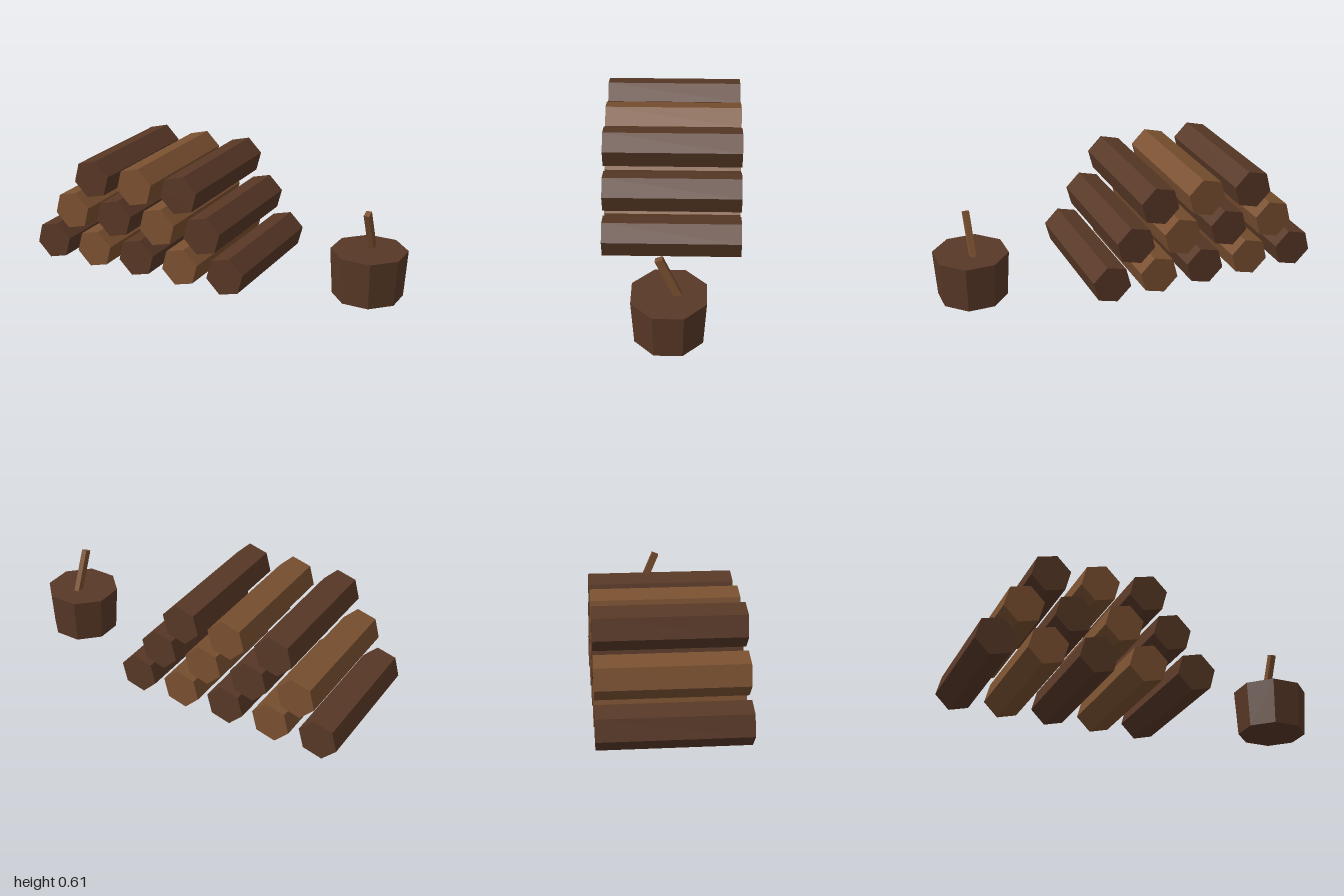
import * as THREE from 'three';

export function createModel() {
  const model = new THREE.Group();
  model.name = 'woodpile';

  const mat = (name, color) => {
    const m = new THREE.MeshStandardMaterial({ color });
    m.name = name;
    m.flatShading = true;
    return m;
  };
  const darkWood = mat('darkWood', 0x583826);
  const lightWood = mat('lightWood', 0x7a5030);

  // Stacked hexagonal logs: rows of five, four and three, alternating in colour
  const logs = new THREE.Group();
  logs.name = 'logStack';
  const radius = 0.1085, spacing = 0.2665, rise = 0.2003;
  const logGeometry = new THREE.CylinderGeometry(radius, radius, 0.75, 6);
  logGeometry.rotateX(Math.PI / 2);
  logGeometry.rotateZ(Math.PI / 4); // a corner sits 15 degrees above the horizontal
  for (let row = 0; row < 3; row++) {
    for (let i = 0; i < 5 - row; i++) {
      const log = new THREE.Mesh(logGeometry, (row + i) % 2 ? lightWood : darkWood);
      log.name = 'log';
      log.position.set(-0.895 + (i + row / 2) * spacing, 0.109 + row * rise, 0);
      logs.add(log);
    }
  }
  model.add(logs);

  // Chopping block, tapering towards the ground
  const block = new THREE.Mesh(new THREE.CylinderGeometry(0.2, 0.184, 0.25, 8), darkWood);
  block.name = 'choppingBlock';
  block.position.set(0.815, 0.125, 0);
  block.rotation.y = -0.4;
  model.add(block);

  // Tilted handle, its lower end sunk in the block
  const tilt = 0.4, length = 0.32;
  const handle = new THREE.Mesh(new THREE.BoxGeometry(0.03, length, 0.04), lightWood);
  handle.name = 'handle';
  handle.rotation.x = tilt;
  handle.position.set(
    0.815,
    0.464 - Math.cos(tilt) * length / 2,
    0.049 - Math.sin(tilt) * length / 2
  );
  model.add(handle);

  return model;
}
